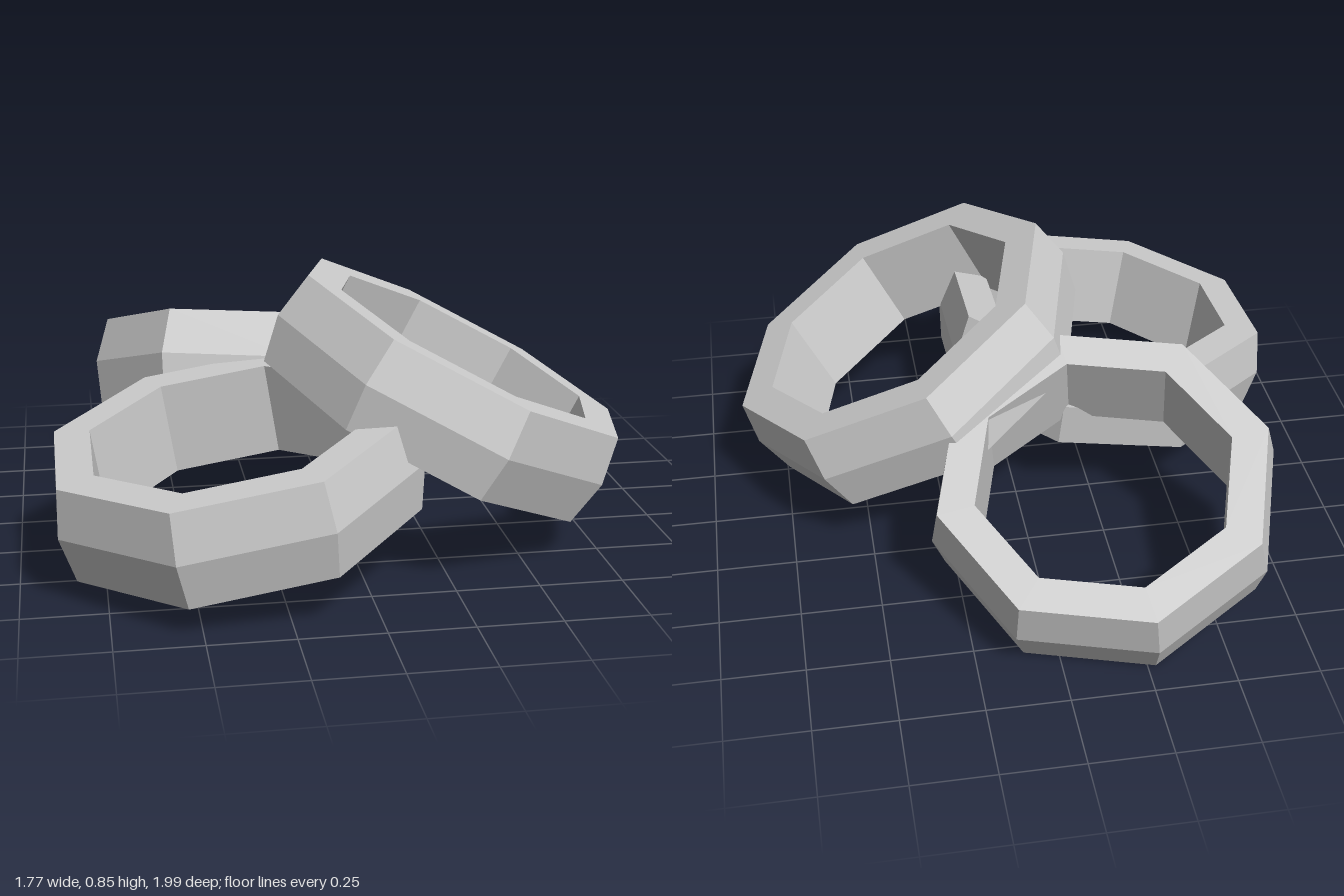
import * as THREE from 'three';

const HALF = 0.147;   // half the height of a ring
const BULGE = 0.028;  // how far the outer wall swells at mid height
const WALL = 0.116;   // width of the flat rim

// Eight-sided ring with a slightly swollen outer wall and a straight inner wall
function ringGeometry(radius) {
  const rim = radius - BULGE;
  const profile = [
    [rim, -HALF], [radius, 0], [rim, HALF],
    [rim - WALL, HALF], [rim - WALL, -HALF], [rim, -HALF],
  ].map(([r, y]) => new THREE.Vector2(r, y));
  return new THREE.LatheGeometry(profile, 8);
}

export function createModel() {
  const model = new THREE.Group();
  model.name = 'ringPile';
  const grey = new THREE.MeshStandardMaterial({ color: 0xcccccc, flatShading: true });
  grey.name = 'lightGrey';

  // Each ring: centre, axis direction, turn about its axis in degrees
  const rings = [
    { name: 'frontRing', radius: 0.576, centre: [-0.36, 0.3, 0.455], axis: [-0.16, 0.98, 0.08], turn: 22.5 },
    { name: 'leaningRing', radius: 0.592, centre: [0.314, 0.461, 0.232], axis: [0.459, 0.888, 0.022], turn: 7 },
    { name: 'backRing', radius: 0.545, centre: [-0.198, 0.32, -0.475], axis: [0.11, 0.92, -0.376], turn: 5.5 },
  ];

  const up = new THREE.Vector3(0, 1, 0);
  for (const { name, radius, centre, axis, turn } of rings) {
    const ring = new THREE.Mesh(ringGeometry(radius), grey);
    ring.name = name;
    ring.geometry.rotateY(THREE.MathUtils.degToRad(turn));
    ring.quaternion.setFromUnitVectors(up, new THREE.Vector3(...axis).normalize());
    ring.position.set(...centre);
    model.add(ring);
  }
  return model;
}
